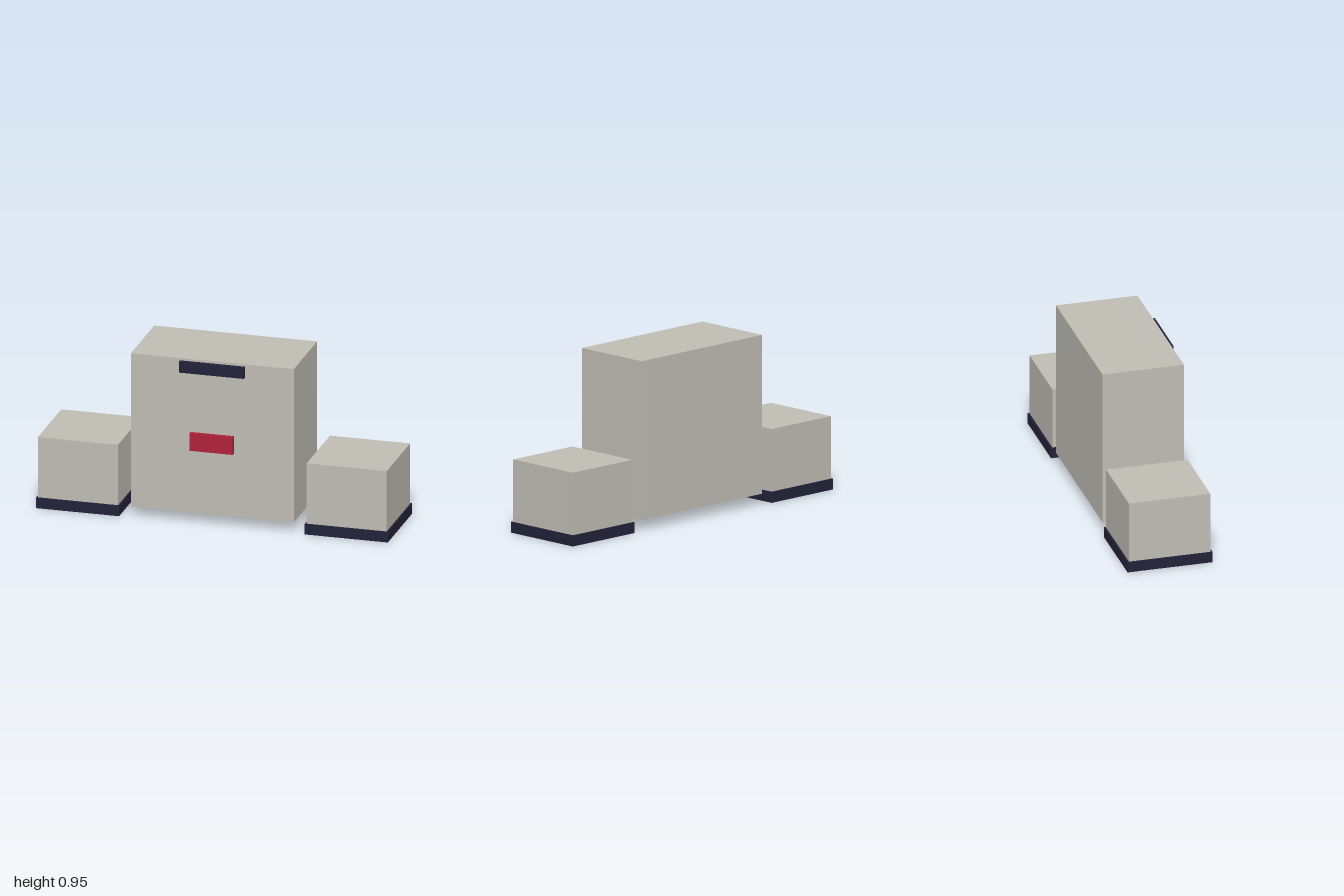
import * as THREE from 'three';

export function createModel() {
  const model = new THREE.Group();
  const casing = new THREE.MeshStandardMaterial({ color: 0xc0bcb4 });
  casing.name = 'warmGrey';
  const dark = new THREE.MeshStandardMaterial({ color: 0x22223a });
  dark.name = 'darkNavy';
  const red = new THREE.MeshStandardMaterial({ color: 0xb0213a });
  red.name = 'red';

  // Box given by its lower and upper corners
  function box(name, material, [x0, y0, z0], [x1, y1, z1], parent = model) {
    const mesh = new THREE.Mesh(new THREE.BoxGeometry(x1 - x0, y1 - y0, z1 - z0), material);
    mesh.position.set((x0 + x1) / 2, (y0 + y1) / 2, (z0 + z1) / 2);
    mesh.name = name;
    parent.add(mesh);
  }

  // Central body with its raised front details
  box('body', casing, [-0.463, 0.06, -0.237], [0.463, 0.95, 0.226]);
  box('topBar', dark, [-0.185, 0.872, 0.226], [0.185, 0.937, 0.245]);
  box('frontPanel', red, [-0.122, 0.425, 0.226], [0.122, 0.527, 0.248]);

  // Side blocks, each standing on a slightly wider sole
  for (const [side, s] of [['left', 1], ['right', -1]]) {
    const foot = new THREE.Group();
    foot.name = side + 'Foot';
    const span = (a, b) => (s > 0 ? [a, b] : [-b, -a]);
    const [u0, u1] = span(0.536, 0.991);
    const [b0, b1] = span(0.527, 1);
    box(side + 'Block', casing, [u0, 0.06, -0.237], [u1, 0.41, 0.226], foot);
    box(side + 'Sole', dark, [b0, 0, -0.247], [b1, 0.06, 0.236], foot);
    model.add(foot);
  }
  return model;
}
